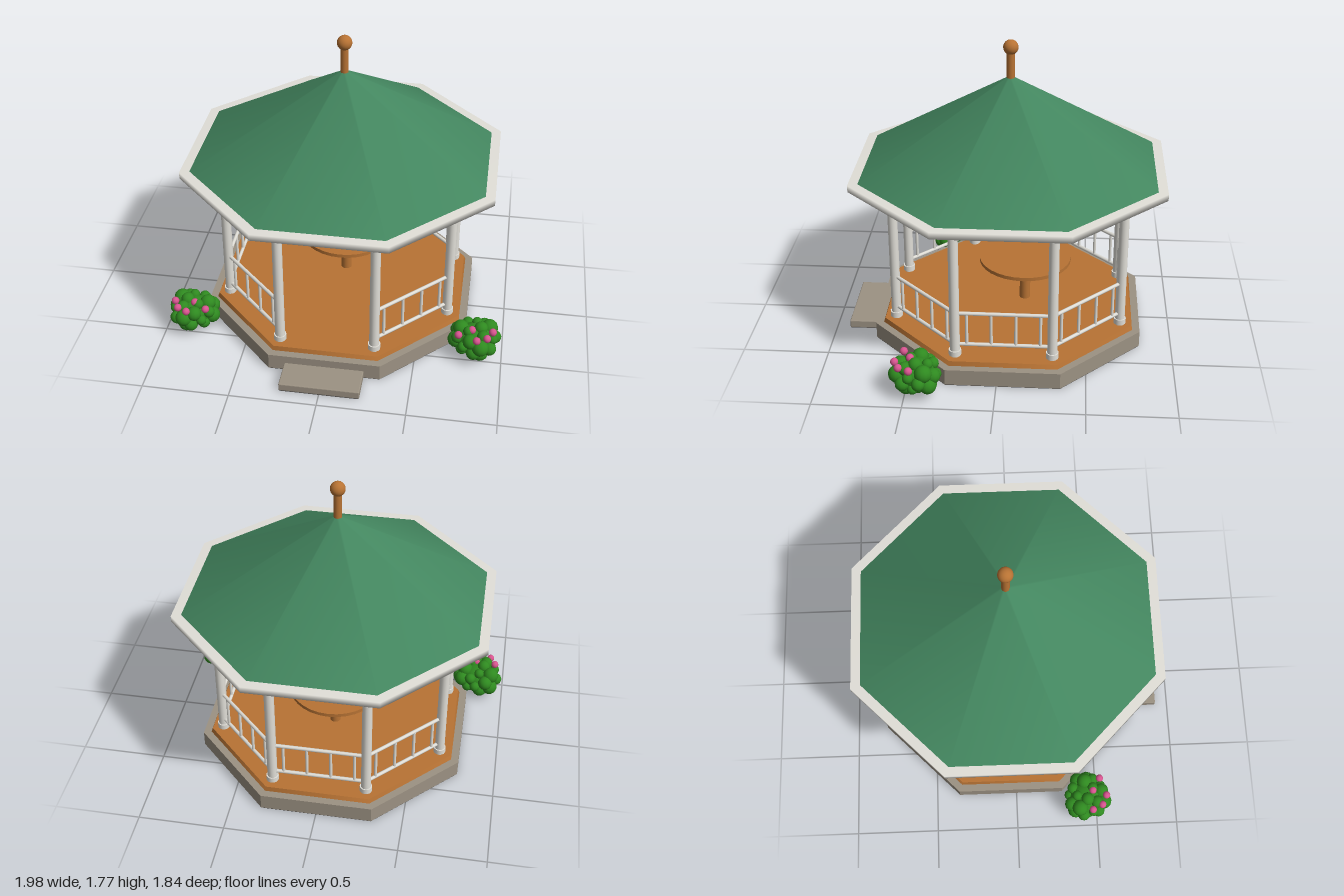
import * as THREE from 'three';
import { RoundedBoxGeometry } from 'three/addons/geometries/RoundedBoxGeometry.js';

const TURN = Math.PI / 8; // puts a flat side of the octagon at the front

function material(name, color, flatShading = false) {
  const m = new THREE.MeshStandardMaterial({ color, flatShading });
  m.name = name;
  return m;
}

function add(parent, name, geometry, mat, x = 0, y = 0, z = 0) {
  const mesh = new THREE.Mesh(geometry, mat);
  mesh.name = name;
  mesh.position.set(x, y, z);
  parent.add(mesh);
  return mesh;
}

// Upright cylinder or prism between two heights
function post(parent, name, mat, rTop, rBottom, y0, y1, sides, x = 0, z = 0) {
  const g = new THREE.CylinderGeometry(rTop, rBottom, y1 - y0, sides);
  return add(parent, name, g, mat, x, (y0 + y1) / 2, z);
}

// Softly shaded octagonal solid from a profile of [radius, height], bottom to top
function octagon(parent, name, mat, profile) {
  const points = profile.map(([r, y]) => new THREE.Vector2(r, y));
  add(parent, name, new THREE.LatheGeometry(points, 8), mat).rotation.y = TURN;
}

export function createModel() {
  const model = new THREE.Group();
  model.name = 'gazebo';

  const stone = material('stone', 0x9c9283, true);
  const wood = material('wood', 0xb87334);
  const paint = material('pale paint', 0xe1dfd8);
  const roofGreen = material('roof green', 0x43865f);
  const leaf = material('leaf green', 0x2f8a20);
  const pink = material('flower pink', 0xd85590);
  const dark = material('dark grey', 0x585656);

  const house = new THREE.Group();
  house.name = 'pavilion';
  house.position.z = -0.035;
  model.add(house);

  // Base, floor and step, with dark undersides
  post(house, 'baseUnderside', dark, 0.84, 0.84, 0, 0.004, 8).rotation.y = TURN;
  post(house, 'base', stone, 0.842, 0.842, 0.004, 0.1, 8).rotation.y = TURN;
  post(house, 'floor', wood, 0.785, 0.795, 0.1, 0.125, 8).rotation.y = TURN;
  add(model, 'stepUnderside', new THREE.BoxGeometry(0.45, 0.004, 0.215), dark, 0, 0.002, 0.81);
  add(model, 'step', new RoundedBoxGeometry(0.46, 0.048, 0.22, 2, 0.006), stone, 0, 0.027, 0.81);

  // Columns with collars at the foot
  for (let k = 0; k < 8; k++) {
    const a = (k + 0.5) * Math.PI / 4;
    const x = 0.715 * Math.sin(a), z = 0.715 * Math.cos(a);
    post(house, 'column', paint, 0.028, 0.029, 0.125, 0.99, 14, x, z);
    post(house, 'columnFoot', paint, 0.036, 0.036, 0.132, 0.165, 14, x, z);
  }

  // Railings on every side but the front
  const railGeometry = new THREE.CylinderGeometry(0.011, 0.011, 0.53, 8);
  railGeometry.rotateZ(Math.PI / 2);
  for (let i = 1; i < 8; i++) {
    const railing = new THREE.Group();
    railing.name = 'railing';
    railing.rotation.y = i * Math.PI / 4;
    house.add(railing);
    for (const y of [0.2, 0.4]) add(railing, 'rail', railGeometry, paint, 0, y, 0.66);
    for (const x of [-0.206, -0.069, 0.069, 0.206]) {
      post(railing, 'baluster', paint, 0.009, 0.009, 0.2, 0.4, 8, x, 0.66);
    }
  }

  // Ring beam on the columns
  const beam = new THREE.TorusGeometry(0.75, 0.022, 8, 8);
  beam.rotateX(Math.PI / 2);
  add(house, 'ringBeam', beam, paint, 0, 0.99, 0);

  // Eave slab and roof
  octagon(house, 'eave', paint, [[0, 0.985], [0.963, 0.985], [0.963, 1.024], [0, 1.024]]);
  octagon(house, 'roof', roofGreen, [[0.908, 1.022], [0.016, 1.552]]);

  // Finial
  post(house, 'finialPost', wood, 0.023, 0.023, 1.53, 1.71, 16);
  add(house, 'finialBall', new THREE.SphereGeometry(0.043, 20, 14), wood, 0, 1.726, 0);

  // Hanging lamp
  post(house, 'lampRod', dark, 0.005, 0.005, 0.82, 0.99, 8);
  add(house, 'lamp', new RoundedBoxGeometry(0.09, 0.107, 0.09, 2, 0.012), paint, 0, 0.772, 0);

  // Round table
  post(house, 'tableLeg', wood, 0.032, 0.032, 0.125, 0.395, 16, 0, -0.09);
  post(house, 'tableTop', wood, 0.275, 0.275, 0.39, 0.412, 32, 0, -0.09);

  // Flowering bushes, mirrored
  const ball = new THREE.SphereGeometry(1, 12, 9);
  const flowers = [[-0.095, 0.074, 0.08], [-0.02, 0.082, 0.035], [0.012, 0.074, 0.118], [0.07, 0.074, 0.09], [0.1, 0.075, 0.03]];
  for (const side of [-1, 1]) {
    const bush = new THREE.Group();
    bush.name = side > 0 ? 'leftBush' : 'rightBush';
    bush.position.set(side * 0.84, 0.122, 0.435);
    model.add(bush);
    add(bush, 'bushCore', ball, leaf).scale.set(0.11, 0.08, 0.105);
    const count = 27;
    for (let i = 0; i < count; i++) {
      const v = 1 - 2 * (i + 0.5) / count;
      const r = Math.sqrt(1 - v * v), a = i * 2.4;
      const size = 0.04 + 0.01 * Math.sin(i * 5.3);
      add(bush, 'leafClump', ball, leaf, side * 0.116 * r * Math.cos(a), 0.076 * v, 0.108 * r * Math.sin(a))
        .scale.setScalar(size);
    }
    for (const [x, y, z] of flowers) {
      add(bush, 'flower', ball, pink, side * x, y, z).scale.setScalar(0.023);
    }
  }

  return model;
}
